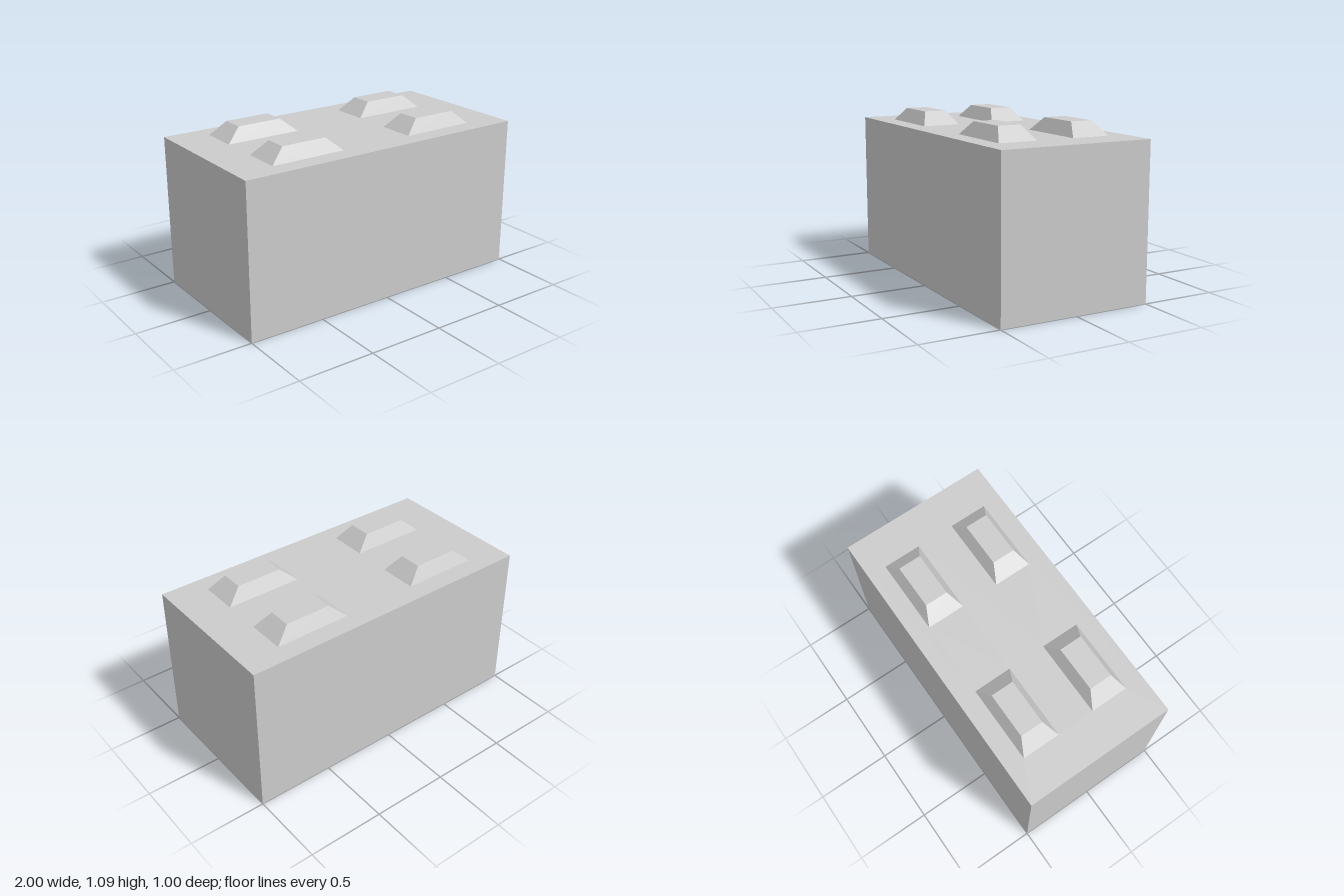
import * as THREE from 'three';

const LENGTH = 2, HEIGHT = 1, DEPTH = 1;
const STUD = { w: 0.5, d: 0.25, h: 0.0866, taper: 0.6 };
const CENTRES = [[-0.5, -0.25], [0.5, -0.25], [-0.5, 0.25], [0.5, 0.25]];

// Box geometry keeping only the chosen faces (order: +x -x +y -y +z -z)
function openBox(w, h, d, faces) {
  const g = new THREE.BoxGeometry(w, h, d).translate(0, h / 2, 0);
  const index = Array.from(g.index.array);
  g.setIndex(faces.flatMap(f => index.slice(f * 6, f * 6 + 6)));
  g.clearGroups();
  return g;
}

// Tapered block without a base; inverted makes it a hollow seen from below
function frustum(inverted) {
  const g = openBox(STUD.w, STUD.h, STUD.d, [0, 1, 2, 4, 5]);
  const p = g.attributes.position;
  for (let i = 0; i < p.count; i++) {
    if (p.getY(i) > STUD.h / 2) {
      p.setX(i, p.getX(i) * STUD.taper);
      p.setZ(i, p.getZ(i) * STUD.taper);
    }
  }
  if (inverted) g.setIndex(Array.from(g.index.array).reverse());
  g.computeVertexNormals();
  return g;
}

function rectangle(path, x, y, w, h) {
  path.moveTo(x - w / 2, y - h / 2);
  path.lineTo(x + w / 2, y - h / 2);
  path.lineTo(x + w / 2, y + h / 2);
  path.lineTo(x - w / 2, y + h / 2);
  path.closePath();
  return path;
}

// Flat face with four rectangular openings
function plate() {
  const shape = rectangle(new THREE.Shape(), 0, 0, LENGTH, DEPTH);
  for (const [x, z] of CENTRES) {
    shape.holes.push(rectangle(new THREE.Path(), x, z, STUD.w, STUD.d));
  }
  return new THREE.ShapeGeometry(shape);
}

export function createModel() {
  const model = new THREE.Group();
  model.name = 'interlockingBlock';
  const material = new THREE.MeshStandardMaterial({ color: 0xcccccc, flatShading: true });

  const add = (name, geometry, x = 0, y = 0, z = 0) => {
    const mesh = new THREE.Mesh(geometry, material);
    mesh.name = name;
    mesh.position.set(x, y, z);
    model.add(mesh);
  };

  // Block body
  add('blockSides', openBox(LENGTH, HEIGHT, DEPTH, [0, 1, 4, 5]));
  add('blockTop', plate().rotateX(-Math.PI / 2), 0, HEIGHT, 0);
  add('blockUnderside', plate().rotateX(Math.PI / 2));

  // Raised studs on top and matching sockets underneath
  const stud = frustum(false), socket = frustum(true);
  for (const [x, z] of CENTRES) {
    add('stud', stud, x, HEIGHT, z);
    add('socket', socket, x, 0, z);
  }
  return model;
}
